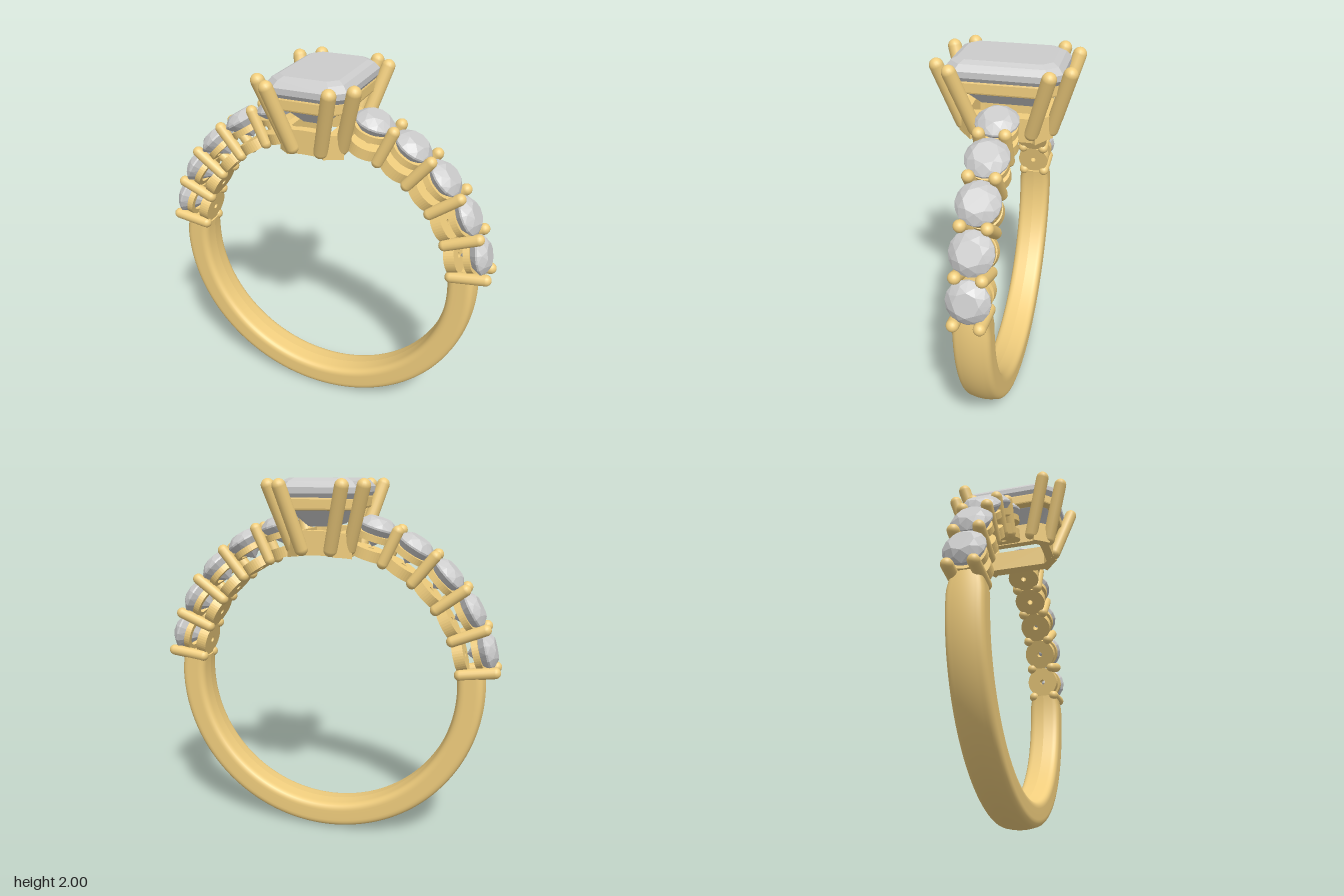
import * as THREE from 'three';
import { ConvexGeometry } from 'three/addons/geometries/ConvexGeometry.js';

const CY = 0.882;          // height of the ring's centre
const INNER = 0.73;        // finger hole radius
const DEG = Math.PI / 180;

const gold = new THREE.MeshStandardMaterial({ color: 0xf0cd7d });
const goldSheet = new THREE.MeshStandardMaterial({ color: 0xf0cd7d, side: THREE.DoubleSide });
const gem = new THREE.MeshStandardMaterial({ color: 0xcccccc, flatShading: true });

function add(parent, name, geometry, material) {
  const mesh = new THREE.Mesh(geometry, material);
  mesh.name = name;
  parent.add(mesh);
  return mesh;
}

// Round-ended rod between two points
function rod(parent, name, a, b, radius) {
  const dir = b.clone().sub(a);
  const mesh = add(parent, name, new THREE.CapsuleGeometry(radius, dir.length(), 6, 16), gold);
  mesh.position.copy(a).lerp(b, 0.5);
  mesh.quaternion.setFromUnitVectors(new THREE.Vector3(0, 1, 0), dir.normalize());
  return mesh;
}

// Rectangle with cut corners, as a list of [x, z]
function octagon(w, d, c) {
  return [[w, d - c], [w - c, d], [c - w, d], [-w, d - c],
    [-w, c - d], [c - w, -d], [w - c, -d], [w, c - d]];
}

// Horizontal octagonal frame standing on y
function frame(w, d, c, wall, y, height) {
  const toPoints = (list) => list.map(([x, z]) => new THREE.Vector2(x, z));
  const shape = new THREE.Shape(toPoints(octagon(w, d, c)));
  shape.holes.push(new THREE.Path(toPoints(octagon(w - wall, d - wall, c * 0.7))));
  return new THREE.ExtrudeGeometry(shape, {
    depth: height - 0.02, bevelThickness: 0.01, bevelSize: 0.008, bevelOffset: -0.008, bevelSegments: 2,
  }).rotateX(-Math.PI / 2).translate(0, y + 0.01, 0);
}

// Plain lower shank, narrowing a little towards its two ends
function buildBand() {
  const band = new THREE.Group();
  band.name = 'band';
  const w = 0.095, out = CY, s = new THREE.Shape();
  s.moveTo(INNER, 0);
  s.lineTo(INNER + 0.004, -w + 0.04);
  s.quadraticCurveTo(INNER + 0.006, -w, INNER + 0.045, -w);
  s.lineTo(out - 0.05, -w);
  s.quadraticCurveTo(out - 0.012, -w, out - 0.008, -w + 0.035);
  s.quadraticCurveTo(out, -0.03, out, 0);
  s.quadraticCurveTo(out, 0.03, out - 0.008, w - 0.035);
  s.quadraticCurveTo(out - 0.012, w, out - 0.05, w);
  s.lineTo(INNER + 0.045, w);
  s.quadraticCurveTo(INNER + 0.006, w, INNER + 0.004, w - 0.04);
  s.lineTo(INNER, 0);
  const half = 98 * DEG;
  const shank = new THREE.LatheGeometry(s.getPoints(6), 120, -half, half * 2).rotateX(Math.PI / 2);
  const p = shank.attributes.position;
  const taper = (y) => 1 - 0.16 * THREE.MathUtils.smoothstep(y, 0.02, 0.13);
  for (let i = 0; i < p.count; i++) p.setZ(i, p.getZ(i) * taper(p.getY(i)));
  add(band, 'shank', shank, gold);
  for (const angle of [8, 172]) {
    const cap = add(band, 'shankEnd', new THREE.ShapeGeometry(s, 6), goldSheet);
    cap.geometry.scale(1, 0.86, 1).rotateX(Math.PI / 2);
    cap.rotation.z = angle * DEG;
  }
  band.position.y = CY;
  return band;
}

// Round brilliant, its height measured from the ring's centre
function roundStone() {
  const pts = [new THREE.Vector3(0, 0.8, 0)];
  const ring = (n, r, y, turn) => {
    for (let i = 0; i < n; i++) {
      const a = (i + turn) * 2 * Math.PI / n;
      pts.push(new THREE.Vector3(r * Math.cos(a), y, r * Math.sin(a)));
    }
  };
  ring(8, 0.062, 0.957, 0);
  ring(8, 0.09, 0.937, 0.5);
  ring(16, 0.109, 0.915, 0);
  ring(16, 0.109, 0.905, 0);
  ring(8, 0.06, 0.85, 0.5);
  return new ConvexGeometry(pts);
}

// Square-edged turned collar with a hole
function collar(r0, r1, y0, y1) {
  const s = new THREE.Shape().absarc(0, 0, r1, 0, Math.PI * 2);
  s.holes.push(new THREE.Path().absarc(0, 0, r0, 0, Math.PI * 2, true));
  return new THREE.ExtrudeGeometry(s, { depth: y1 - y0, bevelEnabled: false, curveSegments: 20 })
    .rotateX(-Math.PI / 2).translate(0, y0, 0);
}

// Row of five set stones on each shoulder
function buildShoulder(side) {
  const shoulder = new THREE.Group();
  shoulder.name = side > 0 ? 'leftShoulder' : 'rightShoulder';
  shoulder.position.y = CY;
  const step = 14.3;
  for (let i = 0; i < 5; i++) {
    const a = (8 + step * i) * DEG;
    for (const z of [-0.064, 0.064]) {
      const at = (r) => new THREE.Vector3(side * r * Math.cos(a), r * Math.sin(a), z);
      rod(shoulder, 'sidePronge'.slice(0, 9), at(0.752), at(0.935), 0.031);
    }
    const setting = new THREE.Group();
    setting.name = 'stoneSetting';
    setting.rotation.z = side * (a + step / 2 * DEG - Math.PI / 2);
    add(setting, 'roundStone', roundStone(), gem);
    add(setting, 'lowerCollar', collar(0.016, 0.094, 0.735, 0.792), gold);
    add(setting, 'upperCollar', collar(0.068, 0.098, 0.838, 0.872), gold);
    shoulder.add(setting);
  }
  return shoulder;
}

// Step-cut centre stone in an eight-prong basket
function buildHead() {
  const head = new THREE.Group();
  head.name = 'head';
  const levels = [
    [2.0, 0.155, 0.235, 0.045], [1.985, 0.185, 0.265, 0.055], [1.955, 0.21, 0.29, 0.062],
    [1.925, 0.21, 0.29, 0.062], [1.84, 0.155, 0.235, 0.045], [1.755, 0.07, 0.15, 0.02],
  ];
  const pts = levels.flatMap(([y, w, d, c]) => octagon(w, d, c).map(([x, z]) => new THREE.Vector3(x, y, z)));
  add(head, 'centreStone', new ConvexGeometry(pts), gem);
  add(head, 'upperFrame', frame(0.2, 0.28, 0.07, 0.05, 1.842, 0.065), gold);

  // Lower frame, its long way along z and bent to the finger hole's curve
  const bars = [];
  for (const s of [-1, 1]) {
    bars.push(new THREE.BoxGeometry(0.22, 0.125, 0.05, 12, 1, 1).translate(0, 1.677, s * 0.205));
    bars.push(new THREE.BoxGeometry(0.05, 0.125, 0.32, 2, 1, 1).translate(s * 0.135, 1.677, 0));
    for (const t of [-1, 1]) {
      bars.push(new THREE.BoxGeometry(0.11, 0.125, 0.05, 4, 1, 1)
        .rotateY(s * t * Math.PI / 4).translate(s * 0.118, 1.677, t * 0.188));
    }
  }
  for (const bar of bars) {
    const p = bar.attributes.position;
    for (let i = 0; i < p.count; i++) {
      const x = p.getX(i);
      p.setY(i, p.getY(i) + Math.sqrt(INNER * INNER - x * x) - INNER);
    }
    add(head, 'lowerFrame', bar, gold);
  }

  // Flared prongs, two at each corner
  for (const sx of [-1, 1]) for (const sz of [-1, 1]) {
    for (const [x0, z0, x1, z1] of [[0.155, 0.145, 0.25, 0.24], [0.078, 0.232, 0.16, 0.328]]) {
      rod(head, 'centreProng', new THREE.Vector3(sx * x0, 1.645, sz * z0),
        new THREE.Vector3(sx * x1, 1.963, sz * z1), 0.036);
    }
  }
  return head;
}

export function createModel() {
  const ring = new THREE.Group();
  ring.name = 'ring';
  ring.add(buildBand(), buildShoulder(1), buildShoulder(-1), buildHead());
  return ring;
}
